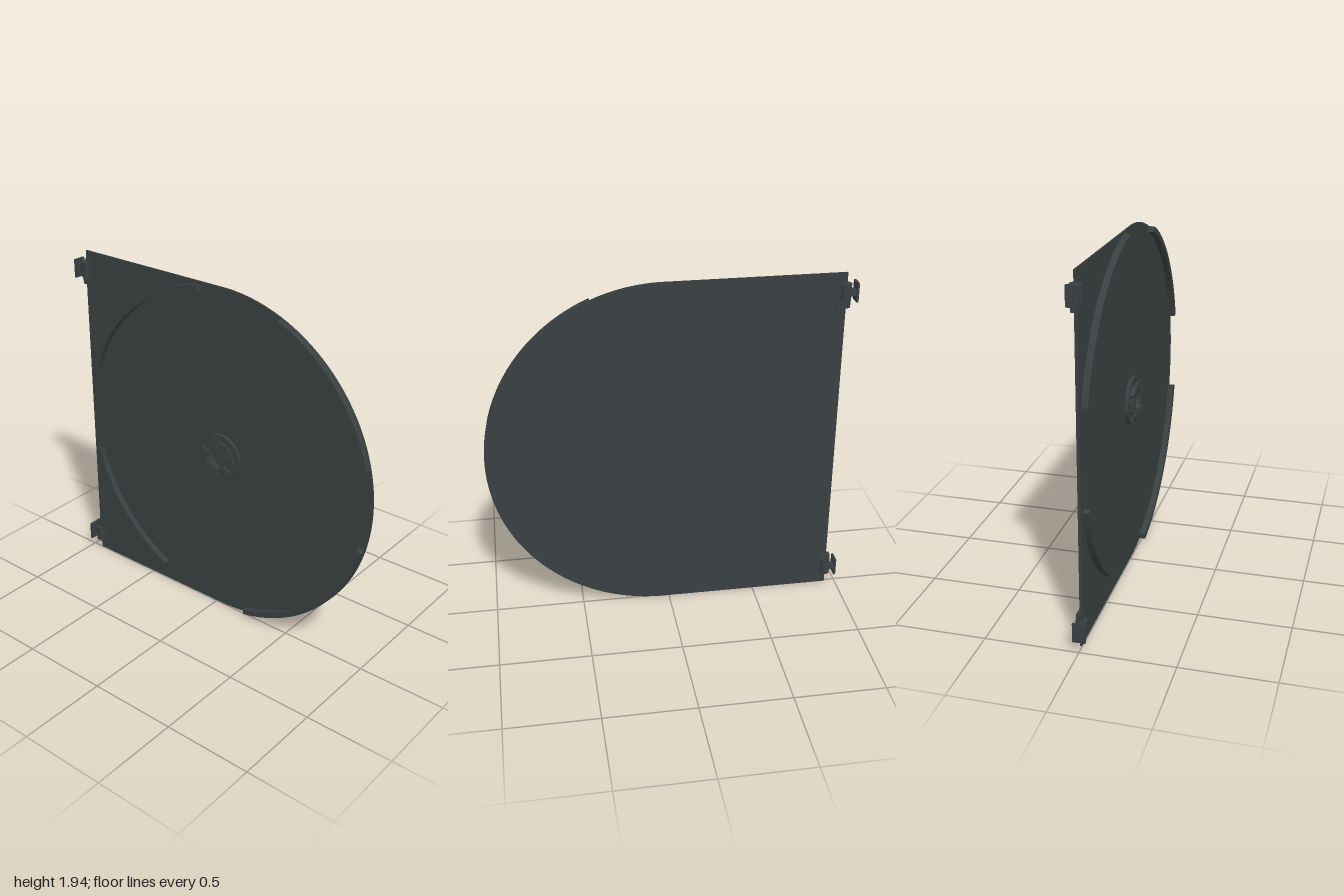
import * as THREE from 'three';

const CX = 0.03, CY = 0.97, R = 0.97;
const rad = THREE.MathUtils.degToRad;

export function createModel() {
  const group = new THREE.Group();
  const plastic = new THREE.MeshStandardMaterial({ color: 0x394041 });
  plastic.name = 'dark grey plastic';

  const add = (name, geometry, x, y, z, parent = group) => {
    const mesh = new THREE.Mesh(geometry, plastic);
    mesh.name = name;
    mesh.position.set(x, y, z);
    parent.add(mesh);
    return mesh;
  };
  const extrude = (shape, depth, curveSegments = 32) =>
    new THREE.ExtrudeGeometry(shape, { depth, curveSegments, bevelEnabled: false });

  // Arc-shaped bar between two radii, angles in degrees
  const arcBar = (name, r0, r1, a0, a1, z0, z1, parent = group) => {
    const s = new THREE.Shape();
    s.absarc(0, 0, r1, rad(a0), rad(a1), false);
    s.absarc(0, 0, r0, rad(a1), rad(a0), true);
    s.closePath();
    return add(name, extrude(s, z1 - z0), CX, CY, z0, parent);
  };

  // Full flat ring
  const ring = (name, r0, r1, z0, z1, parent) => {
    const s = new THREE.Shape().absarc(0, 0, r1, 0, Math.PI * 2, false);
    s.holes.push(new THREE.Path().absarc(0, 0, r0, 0, Math.PI * 2, true));
    return add(name, extrude(s, z1 - z0), CX, CY, z0, parent);
  };

  // Base plate: square on the left, half round on the right
  const plate = new THREE.Shape();
  plate.moveTo(-0.94, 0);
  plate.lineTo(CX, 0);
  plate.absarc(CX, CY, R, -Math.PI / 2, Math.PI / 2, false);
  plate.lineTo(-0.94, 2 * R);
  plate.closePath();
  add('basePlate', extrude(plate, 0.009, 64), 0, 0, -0.012);

  // Low raised strip beside the hinge edge
  add('edgeStrip', new THREE.BoxGeometry(0.04, 1.86, 0.008), -0.918, CY, 0);

  // Raised rims around the disc seat
  [[14, 67], [98.4, 162.3], [194.6, 244.8], [281.5, 346]].forEach(([a0, a1]) =>
    arcBar('discRim', 0.936, 0.968, a0, a1, -0.004, 0.032));

  // Central hub: low collar and six clip fingers
  const hub = new THREE.Group();
  hub.name = 'hub';
  group.add(hub);
  ring('hubCollar', 0.113, 0.137, -0.004, 0.016, hub);
  for (let i = 0; i < 6; i++) {
    const a = i * 60;
    arcBar('fingerTop', 0.064, 0.112, a - 25, a + 25, 0.028, 0.039, hub);
    arcBar('fingerWall', 0.064, 0.078, a - 25, a + 25, -0.004, 0.028, hub);
    arcBar('fingerTooth', 0.053, 0.064, a - 15, a + 15, 0.018, 0.034, hub);
  }

  // Hinges, mirrored above and below the middle
  for (const side of [1, -1]) {
    const hinge = new THREE.Group();
    hinge.name = side > 0 ? 'upperHinge' : 'lowerHinge';
    group.add(hinge);
    const y = d => CY + side * d;
    add('hingeEndPlate', new THREE.BoxGeometry(0.012, 0.105, 0.068), -0.994, y(0.862), 0, hinge);
    add('hingePin', new THREE.BoxGeometry(0.06, 0.036, 0.03), -0.965, y(0.862), -0.012, hinge);
    add('hingeBarrel', new THREE.CylinderGeometry(0.03, 0.03, 0.09, 20), -0.937, y(0.862), -0.003, hinge);
    add('hingeLug', new THREE.BoxGeometry(0.07, 0.045, 0.03), -0.925, y(0.798), -0.008, hinge);
  }
  return group;
}
